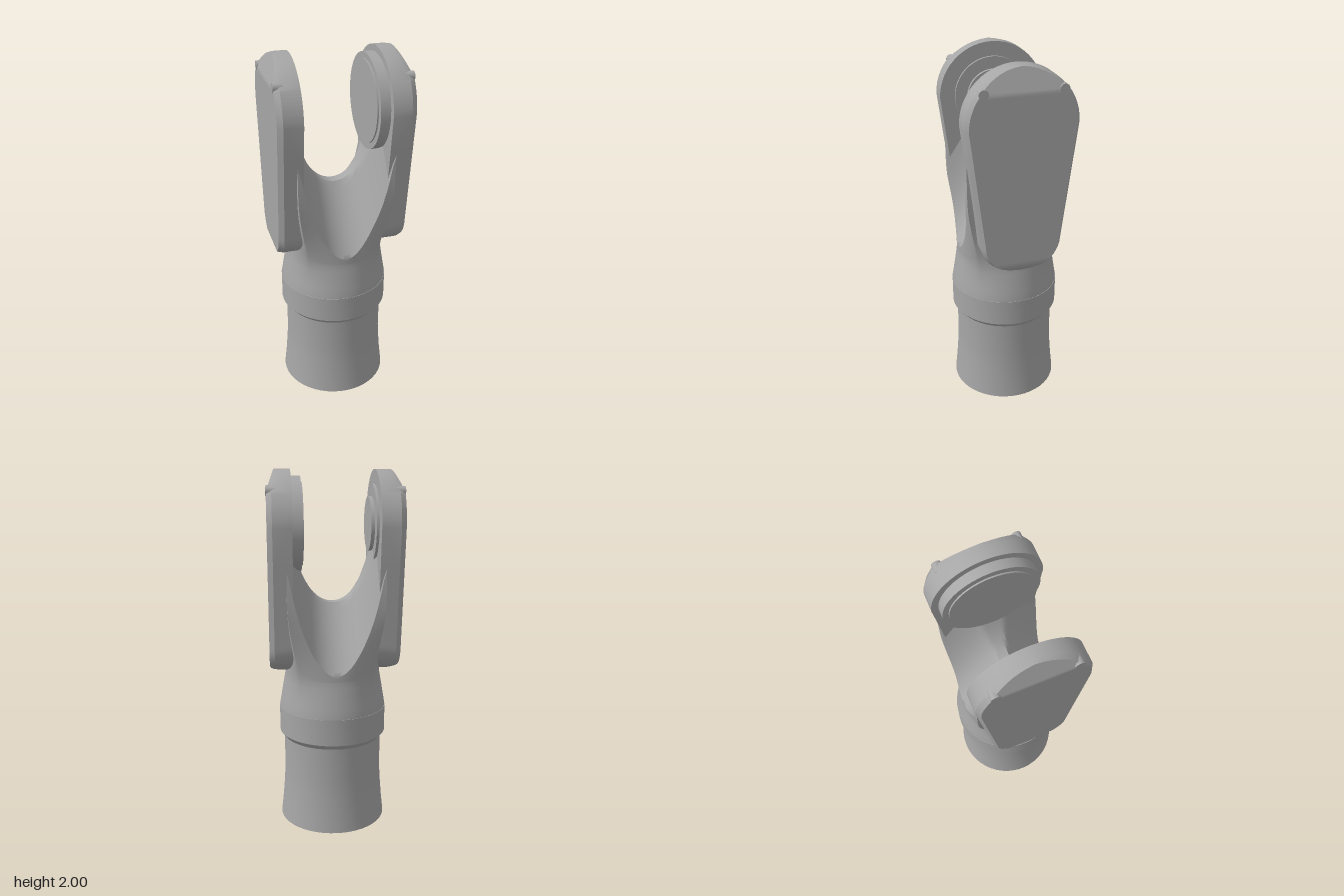
import * as THREE from 'three';
import { toCreasedNormals } from 'three/addons/utils/BufferGeometryUtils.js';

const { clamp, lerp, smoothstep } = THREE.MathUtils;
const PIVOT_Y = 1.71;

// Height of the saddle: a U channel along z, falling away to both sides of a short ridge
function saddleHeight(x, z) {
  const u = 1.28 + 4 * x * x + 50 * x ** 4;
  const slope = 1.52 * Math.max(0, Math.abs(z) - 0.03 - x * x);
  return Math.min(u, 1.75) - slope;
}

// Plan position on the neck: a disc at the collar that grows square toward the fork
function neckPoint(a, b, y) {
  const square = smoothstep(y, 0.76, 1.32);
  const r = lerp(0.304, 0.27, clamp((y - 0.68) / 0.2, 0, 1));
  return [
    r * a * lerp(Math.sqrt(1 - b * b / 2), 0.97, square),
    r * b * lerp(Math.sqrt(1 - a * a / 2), 1, square),
  ];
}

function neckGeometry() {
  const geo = new THREE.BoxGeometry(2, 1, 2, 36, 16, 36);
  const p = geo.attributes.position;
  for (let i = 0; i < p.count; i++) {
    const a = p.getX(i), b = p.getZ(i), v = p.getY(i) + 0.5;
    // settle the top of this column on the saddle
    let top = 1.2;
    for (let k = 0; k < 40; k++) {
      const [x, z] = neckPoint(a, b, top);
      top = lerp(top, saddleHeight(x, z), 0.4);
    }
    const y = v < 0.375 ? lerp(0.66, 0.88, v / 0.375) : lerp(0.88, top, (v - 0.375) / 0.625);
    const [x, z] = neckPoint(a, b, y);
    p.setXYZ(i, x, y, z);
  }
  return toCreasedNormals(geo, 0.6);
}

// Half width of a fork plate at height y: round head, straight taper, elliptical foot
function plateHalfWidth(y) {
  if (y > PIVOT_Y) return 0.293 * Math.sqrt(Math.max(0, 1 - ((y - PIVOT_Y) / 0.29) ** 2));
  if (y > 1.07) return lerp(0.217, 0.293, (y - 1.07) / (PIVOT_Y - 1.07));
  return 0.217 * Math.sqrt(Math.max(0, 1 - ((1.07 - y) / 0.172) ** 2));
}

// Fork plate lofted from horizontal sections, with chamfered outer edge and sloped head
function plateGeometry(side) {
  const ys = [];
  for (let i = 0; i <= 10; i++) ys.push(1.07 - 0.172 * Math.cos(i / 10 * Math.PI / 2));
  ys.push(1.28, 1.5);
  for (let i = 0; i <= 14; i++) ys.push(PIVOT_Y + 0.29 * Math.sin(i / 14 * Math.PI / 2));
  ys.push(1.88);
  ys.sort((a, b) => a - b);

  const pos = [], idx = [];
  for (const y of ys) {
    const w = plateHalfWidth(y);
    const outer = 0.358 - 0.36 * Math.max(0, y - 1.88) - 0.8 * Math.max(0, 0.94 - y);
    const c = Math.min(0.018, w);
    const ring = [[0.228, -w], [outer - 0.028, -w], [outer, c - w], [outer, w - c], [outer - 0.028, w], [0.228, w]];
    for (const [x, z] of ring) pos.push(side * x, y, z);
  }
  for (let r = 0; r < ys.length - 1; r++) {
    for (let k = 0; k < 6; k++) {
      const a = r * 6 + k, b = r * 6 + (k + 1) % 6, c = a + 6, d = b + 6;
      if (side > 0) idx.push(a, c, b, b, c, d);
      else idx.push(a, b, c, b, d, c);
    }
  }
  // close the narrow ends
  const t = (ys.length - 1) * 6;
  for (let k = 1; k < 5; k++) {
    if (side > 0) idx.push(0, k, k + 1, t, t + k + 1, t + k);
    else idx.push(0, k + 1, k, t, t + k, t + k + 1);
  }
  const geo = new THREE.BufferGeometry();
  geo.setAttribute('position', new THREE.Float32BufferAttribute(pos, 3));
  geo.setIndex(idx);
  return toCreasedNormals(geo, 0.45);
}

export function createModel() {
  const model = new THREE.Group();
  model.name = 'forkLink';
  const metal = new THREE.MeshStandardMaterial({ color: 0xa6a6a6 });
  metal.name = 'grey metal';

  const add = (name, geo) => {
    const mesh = new THREE.Mesh(geo, metal);
    mesh.name = name;
    model.add(mesh);
    return mesh;
  };
  // Disc lying across x between two positions
  const disc = (name, r, x0, x1, y, z, segments = 48) => {
    const mesh = add(name, new THREE.CylinderGeometry(r, r, Math.abs(x1 - x0), segments));
    mesh.rotation.z = Math.PI / 2;
    mesh.position.set((x0 + x1) / 2, y, z);
  };

  // Flared sleeve with a stepped collar
  const profile = [[0, 0], [0.305, 0], [0.293, 0.11], [0.284, 0.22], [0.28, 0.3], [0.28, 0.5],
    [0.305, 0.53], [0.305, 0.68], [0, 0.68]].map(([x, y]) => new THREE.Vector2(x, y));
  add('sleeve', toCreasedNormals(new THREE.LatheGeometry(profile, 48), 0.5));

  // Neck with the U-shaped saddle
  add('neck', neckGeometry());

  // Fork plates with small pins near the head
  for (const [side, label] of [[1, 'left'], [-1, 'right']]) {
    add(label + 'ForkPlate', plateGeometry(side));
    for (const z of [-0.2, 0.2]) disc(label + 'Pin', 0.025, side * 0.31, side * 0.36, 1.888, z, 16);
  }

  // Bearing bosses on the inner faces
  disc('leftBoss', 0.256, 0.235, 0.175, PIVOT_Y, 0);
  disc('leftBossCap', 0.224, 0.18, 0.167, PIVOT_Y, 0);
  disc('rightBoss', 0.212, -0.235, -0.214, PIVOT_Y, 0);
  disc('rightBossCap', 0.146, -0.22, -0.195, PIVOT_Y, 0);

  return model;
}
